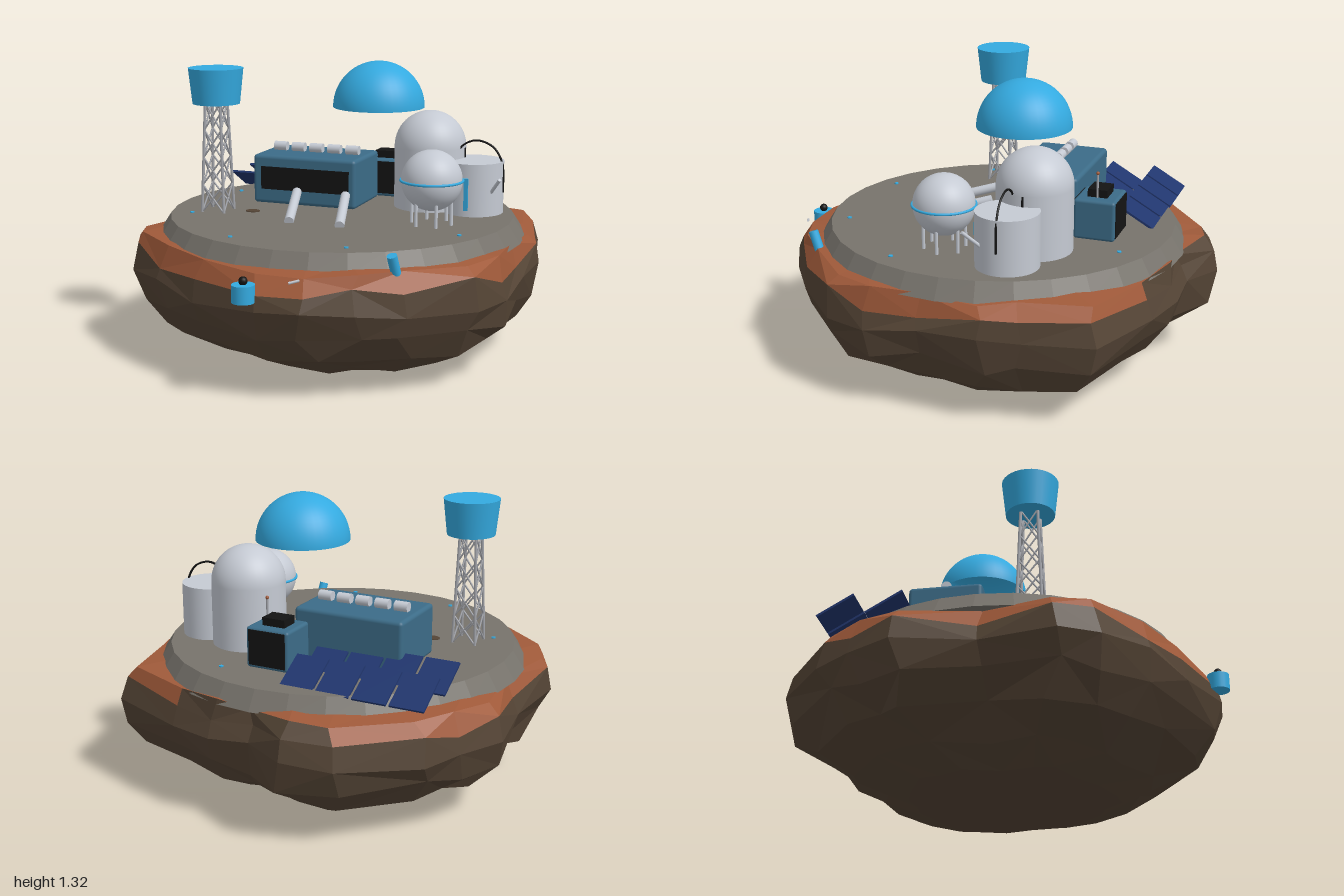
import * as THREE from 'three';
import { RoundedBoxGeometry } from 'three/addons/geometries/RoundedBoxGeometry.js';

const mat = (name, color, opts = {}) => {
  const m = new THREE.MeshStandardMaterial({ color, ...opts });
  m.name = name;
  return m;
};

export function createModel() {
  const root = new THREE.Group();
  root.name = 'asteroidBase';
  const rockMat = mat('rockBrown', 0x544435, { flatShading: true });
  const clayMat = mat('rustClay', 0xa05a3a, { flatShading: true });
  const padMat = mat('concrete', 0x77736c, { flatShading: true });
  const white = mat('paleGrey', 0xc5cad3);
  const blue = mat('brightBlue', 0x34aae0, { side: THREE.DoubleSide });
  const teal = mat('tealHull', 0x3c6c88);
  const navy = mat('solarNavy', 0x21366e);
  const black = mat('black', 0x141414);
  const steel = mat('steel', 0xa4a6ac);

  const V = (x, y, z) => new THREE.Vector3(x, y, z);
  const add = (name, geo, material, x = 0, y = 0, z = 0, parent = root) => {
    const m = new THREE.Mesh(geo, material);
    m.name = name;
    m.position.set(x, y, z);
    parent.add(m);
    return m;
  };
  const group = (name, x, y, z) => {
    const g = new THREE.Group();
    g.name = name;
    g.position.set(x, y, z);
    root.add(g);
    return g;
  };
  // Round bar between two points
  const beam = (name, a, b, r, material, parent = root, sides = 6) => {
    const d = b.clone().sub(a);
    const m = add(name, new THREE.CylinderGeometry(r, r, d.length(), sides), material, 0, 0, 0, parent);
    m.position.copy(a).add(b).multiplyScalar(0.5);
    m.quaternion.setFromUnitVectors(V(0, 1, 0), d.normalize());
    return m;
  };
  const FLOOR = 0.62;

  // --- Rock: faceted rings following an irregular outline ---
  let seed = 7;
  const rand = () => ((seed = (seed * 16807) % 2147483647) / 2147483647) * 2 - 1;
  const outline = [
    [0.9, 0.05], [0.89, 0.3], [0.82, 0.5], [0.58, 0.73], [0.4, 0.86], [0.2, 0.96], [0, 0.96], [-0.35, 0.82],
    [-0.6, 0.68], [-0.82, 0.5], [-0.9, 0.33], [-0.86, 0], [-0.92, -0.35], [-0.81, -0.55], [-0.72, -0.71],
    [-0.42, -0.94], [-0.2, -1], [0, -0.9], [0.2, -0.9], [0.42, -0.84], [0.8, -0.7], [0.86, -0.4], [0.91, -0.22],
  ];
  const N = outline.length;
  // scale of outline, height, sideways shift, radial jitter, height jitter, turn jitter
  const rings = [
    [0.78, 0.565, 0, 0, 0, 0], [0.935, 0.548, 0, 0.015, 0.012, 0.03], [0.975, 0.475, 0, 0.012, 0.035, 0.02],
    [1, 0.385, 0, 0, 0.025, 0], [0.955, 0.265, 0.012, 0.015, 0.03, 0.05], [0.86, 0.155, 0.025, 0.025, 0.025, 0.05],
    [0.67, 0.06, 0.035, 0.03, 0.015, 0.05], [0.48, 0, 0.045, 0.03, 0, 0.05],
  ].map(([s, y, dx, jr, jy, jt]) => outline.map(([x, z]) => {
    const f = s + rand() * jr, t = rand() * jt;
    return V((x * Math.cos(t) - z * Math.sin(t)) * f + dx, y + rand() * jy, (x * Math.sin(t) + z * Math.cos(t)) * f);
  }));
  const clayTris = [], rockTris = [];
  const bareSectors = [15, 16, 17, 18]; // slopes where the brown rock runs up to the pad
  for (let k = 0; k < rings.length - 1; k++) {
    for (let j = 0; j < N; j++) {
      const n = (j + 1) % N;
      const out = k === 0 || (k === 1 && !bareSectors.includes(j)) ? clayTris : rockTris;
      const [a, b, c, d] = [rings[k][j], rings[k][n], rings[k + 1][j], rings[k + 1][n]];
      if ((j + k) % 2) out.push(a, b, c, b, d, c);
      else out.push(a, b, d, a, d, c);
    }
  }
  const bottom = rings[rings.length - 1];
  for (let j = 0; j < N; j++) rockTris.push(bottom[j], bottom[(j + 1) % N], V(0, 0, 0));
  const facets = (pts) => {
    const g = new THREE.BufferGeometry().setFromPoints(pts);
    g.computeVertexNormals();
    return g;
  };
  add('rock', facets(rockTris), rockMat);
  add('claySlope', facets(clayTris), clayMat);

  // --- Landing pad with edge lights ---
  add('pad', new THREE.CylinderGeometry(0.8, 0.855, 0.085, 32), padMat, 0.01, FLOOR - 0.0425, -0.02);
  for (let i = 0; i < 8; i++) {
    const a = (i + 0.5) * Math.PI / 4;
    add('padLight', new THREE.CylinderGeometry(0.01, 0.01, 0.006, 12), blue, 0.015 + 0.7 * Math.cos(a), FLOOR + 0.002, -0.004 + 0.7 * Math.sin(a));
  }
  add('padStain', new THREE.CylinderGeometry(0.03, 0.03, 0.004, 12), rockMat, -0.38, FLOOR + 0.001, 0.133).scale.x = 1.15;

  // --- Lattice water tower ---
  const tower = group('waterTower', -0.54, FLOOR, 0.175);
  const H = 0.515, TIERS = 4;
  const leg = (i, t) => {
    const a = (i + 0.5) * Math.PI / 2, r = (0.056 - 0.018 * t) * Math.SQRT2;
    return V(Math.cos(a) * r, t * H, Math.sin(a) * r);
  };
  for (let i = 0; i < 4; i++) {
    beam('towerLeg', leg(i, 0), leg(i, 1), 0.007, steel, tower, 8);
    for (let k = 0; k < TIERS; k++) {
      const t0 = k / TIERS, t1 = (k + 1) / TIERS;
      beam('towerBrace', leg(i, t0), leg(i + 1, t1), 0.0042, steel, tower);
      beam('towerBrace', leg(i + 1, t0), leg(i, t1), 0.0042, steel, tower);
    }
  }
  add('towerTank', new THREE.CylinderGeometry(0.128, 0.11, 0.165, 32), blue, 0, 0.59, 0, tower);

  // --- Floating dome, an open shell ---
  add('dome', new THREE.SphereGeometry(0.215, 40, 16, 0, Math.PI * 2, 0, Math.PI / 2), blue, 0.139, 1.102, -0.165);

  // --- Domed silo ---
  const silo = group('domedSilo', 0.357, FLOOR, -0.288);
  add('siloBody', new THREE.CylinderGeometry(0.17, 0.17, 0.29, 40, 1, true), white, 0, 0.145, 0, silo);
  add('siloCap', new THREE.SphereGeometry(0.17, 40, 14, 0, Math.PI * 2, 0, Math.PI / 2), white, 0, 0.29, 0, silo);
  add('siloGauge', new THREE.BoxGeometry(0.02, 0.1, 0.009), blue, 0, 0.08, 0.171, silo);
  beam('siloCable', V(0.17, 0.1, 0), V(0.17, 0.29, 0), 0.005, black, silo);

  // --- Flat-topped tank with hose and strut ---
  add('flatTank', new THREE.CylinderGeometry(0.14, 0.14, 0.245, 40), white, 0.585, FLOOR + 0.1225, -0.242);
  add('tankGauge', new THREE.BoxGeometry(0.02, 0.15, 0.009), blue, 0.587, 0.725, -0.1);
  const hose = new THREE.CatmullRomCurve3([
    V(0.495, 0.86, -0.241), V(0.525, 0.925, -0.241), V(0.595, 0.957, -0.241), V(0.675, 0.93, -0.241),
    V(0.719, 0.86, -0.241), V(0.726, 0.79, -0.241), V(0.726, 0.72, -0.241),
  ]);
  add('hose', new THREE.TubeGeometry(hose, 32, 0.005, 6), black);
  beam('strut', V(0.685, 0.725, -0.165), V(0.745, 0.805, -0.098), 0.008, white, root, 8);

  // --- Spherical tank on legs ---
  const ball = group('sphereTank', 0.48, 0.82, 0.086);
  add('sphere', new THREE.SphereGeometry(0.138, 40, 24), white, 0, 0, 0, ball);
  add('sphereBand', new THREE.TorusGeometry(0.14, 0.006, 8, 48), blue, 0, 0, 0, ball).rotation.x = Math.PI / 2;
  for (let i = 0; i < 6; i++) {
    const x = 0.093 * Math.cos(i * Math.PI / 3), z = 0.093 * Math.sin(i * Math.PI / 3);
    beam('sphereLeg', V(x, -0.2, z), V(x, -0.08, z), 0.008, white, ball, 8);
  }

  // --- Main building ---
  const hall = group('mainHall', -0.201, FLOOR, -0.223);
  add('hallBody', new RoundedBoxGeometry(0.525, 0.235, 0.335, 3, 0.018), teal, 0, 0.117, 0, hall);
  add('hallWindow', new THREE.BoxGeometry(0.45, 0.11, 0.008), black, 0.006, 0.125, 0.168, hall);
  for (let i = -2; i <= 2; i++) {
    const c = add('roofCanister', new THREE.CylinderGeometry(0.023, 0.023, 0.064, 20), white, i * 0.0935, 0.254, -0.005, hall);
    c.rotation.z = Math.PI / 2;
  }

  // --- Chutes in front of the hall ---
  for (const x of [-0.2, 0.044]) {
    beam('chute', V(x, 0.705, 0.025), V(x + 0.078, 0.628, 0.305), 0.022, white, root, 16);
  }

  // --- Generator hut ---
  const hut = group('generatorHut', 0.08, FLOOR, -0.505);
  add('hutBody', new RoundedBoxGeometry(0.21, 0.185, 0.19, 3, 0.014), teal, 0, 0.092, 0, hut);
  for (const s of [-1, 1]) add('hutPanel', new THREE.BoxGeometry(0.18, 0.16, 0.009), black, 0, 0.095, s * 0.095, hut);
  add('hutVent', new THREE.BoxGeometry(0.11, 0.04, 0.09), black, -0.005, 0.2, 0, hut);
  beam('antenna', V(0.05, 0.18, 0), V(0.05, 0.29, 0), 0.005, steel, hut);
  add('antennaTip', new THREE.SphereGeometry(0.008, 10, 8), clayMat, 0.05, 0.297, 0, hut);

  // --- Solar panels: two tilted rows of four ---
  for (const z of [-0.645, -0.432]) {
    for (let i = 0; i < 4; i++) {
      const p = add('solarPanel', new THREE.BoxGeometry(0.155, 0.01, 0.185), navy, -0.64 + i * 0.17, 0.658, z);
      p.rotation.x = -0.52;
    }
  }

  // --- Blue pipe stub, valve pot and small loose rod on the rim ---
  beam('pipeStub', V(0.507, 0.625, 0.715), V(0.518, 0.518, 0.675), 0.022, blue, root, 16);
  add('valvePot', new THREE.CylinderGeometry(0.049, 0.049, 0.075, 24), blue, -0.048, 0.473, 0.951);
  add('valveKnob', new THREE.SphereGeometry(0.019, 16, 12), black, -0.048, 0.525, 0.951);
  beam('looseRod', V(0.145, 0.53, 0.935), V(0.185, 0.54, 0.915), 0.006, white);

  return root;
}
